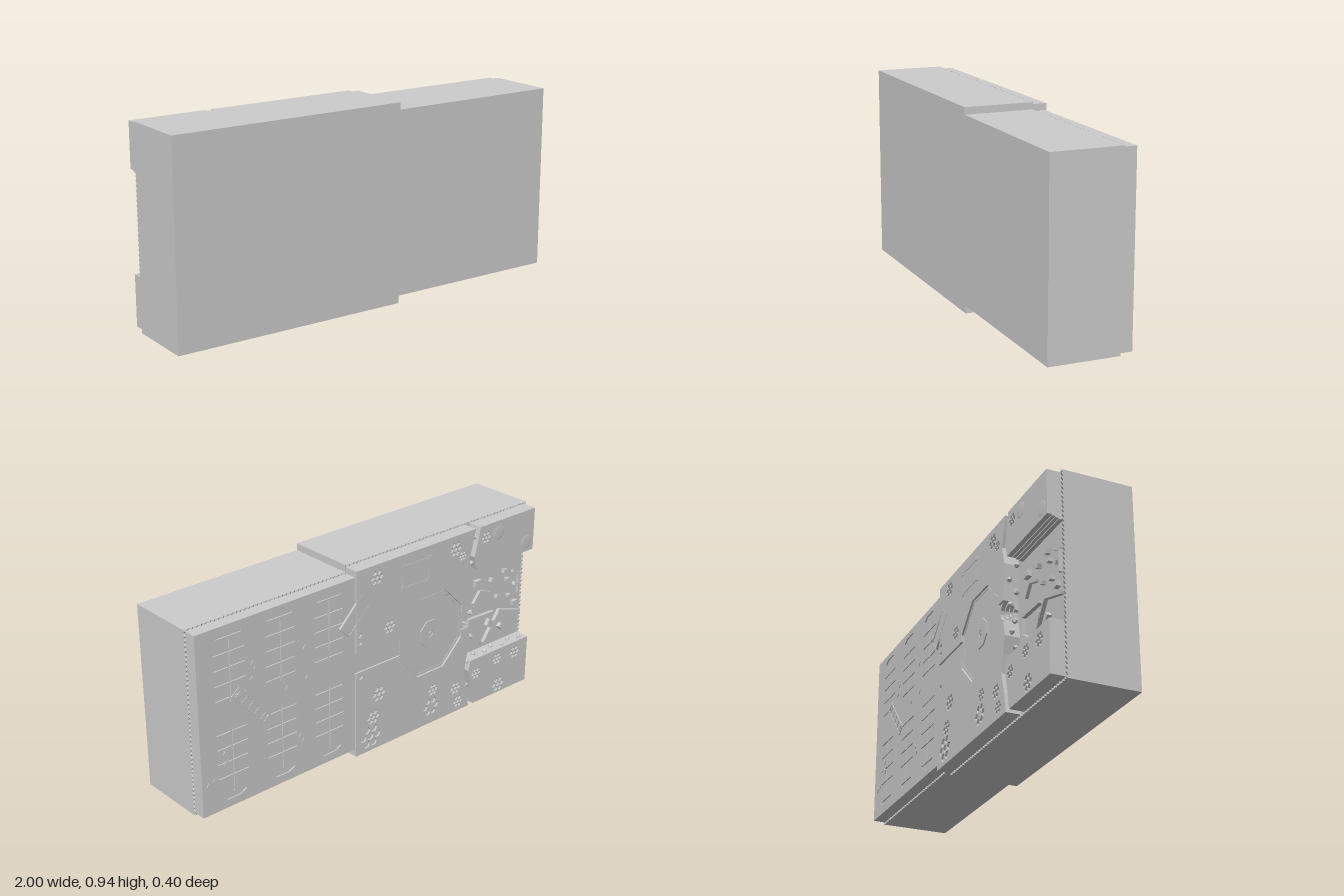
import * as THREE from 'three';

const mat = new THREE.MeshStandardMaterial({ color: 0xcccccc, flatShading: true, side: THREE.DoubleSide });
const BED = -0.13, LOW = -0.188, TOP = -0.197, MID = 0.485;

export function createModel() {
  const model = new THREE.Group();
  const add = (name, geo) => {
    const m = new THREE.Mesh(geo, mat);
    m.name = name;
    model.add(m);
    return m;
  };
  const vec = (pts) => pts.map(([x, y]) => new THREE.Vector2(x, y));

  // flat piece with an outline in x and y, between two depths
  const slab = (name, pts, zBack, zFront, holes = []) => {
    const s = new THREE.Shape(vec(pts));
    for (const h of holes) s.holes.push(new THREE.Path(vec(h)));
    const g = new THREE.ExtrudeGeometry(s, { depth: zFront - zBack, bevelEnabled: false });
    g.translate(0, 0, zBack);
    return add(name, g);
  };
  const rect = (x0, x1, y0, y1) => [[x0, y0], [x1, y0], [x1, y1], [x0, y1]];
  const ngon = (x, y, r, n, turn = 0) => Array.from({ length: n }, (_, i) => {
    const a = turn + i / n * Math.PI * 2;
    return [x + r * Math.cos(a), y + r * Math.sin(a)];
  });
  const box = (name, x, y, w, h, zFloor, height, angle = 0) => {
    const m = add(name, new THREE.BoxGeometry(w, h, height + 0.002));
    m.position.set(x, y, zFloor - height / 2 + 0.001);
    m.rotation.z = angle;
    return m;
  };
  const wall = (name, pts, width, zFloor, height) => {
    for (let i = 1; i < pts.length; i++) {
      const [ax, ay] = pts[i - 1], [bx, by] = pts[i];
      box(name, (ax + bx) / 2, (ay + by) / 2, Math.hypot(bx - ax, by - ay) + width, width,
        zFloor, height, Math.atan2(by - ay, bx - ax));
    }
  };
  // rotated rectangular frame
  const frame = (name, x, y, w, h, angle, zFloor, height, bar = 0.008) => {
    const c = Math.cos(angle), s = Math.sin(angle);
    const pts = [[-w, -h], [w, -h], [w, h], [-w, h], [-w, -h]].map(([a, b]) =>
      [x + (a * c - b * s) / 2, y + (a * s + b * c) / 2]);
    wall(name, pts, bar, zFloor, height);
    return pts.slice(0, 4);
  };
  // flower-like cluster of small pits
  const cluster = (x, y, r, centre = true) => {
    const pits = ngon(x, y, r * 2.1, 6).map(([a, b]) => ngon(a, b, r, 6));
    if (centre) pits.push(ngon(x, y, r, 6));
    return pits;
  };

  // earth base: wide and narrow halves
  slab('wideBase', rect(-1, 0.145, 0, 0.94), BED + 0.004, 0.197);
  slab('narrowBase', rect(0.14, 0.997, 0.036, 0.907), BED + 0.004, 0.197);

  // scalloped turf fringe round the sides
  const fringe = (x0, y0, x1, y1) => {
    const len = Math.hypot(x1 - x0, y1 - y0), n = Math.round(len / 0.022) * 4;
    const pts = [[0, 0.01], [len, 0.01]].reverse();
    for (let i = 0; i <= n; i++) pts.push([i / n * len, -0.004 - 0.004 * Math.sin(i * Math.PI / 2)]);
    const g = new THREE.ExtrudeGeometry(new THREE.Shape(vec(pts)), { depth: 0.008, bevelEnabled: false });
    g.translate(0, 0, -0.008);
    g.rotateX(Math.PI / 2);
    g.rotateZ(Math.atan2(y1 - y0, x1 - x0));
    g.translate(x0, y0, BED + 0.004);
    add('turfFringe', g);
  };
  // each side runs with the body on its right
  for (const [a, b, c, d] of [[-1, 0.94, 0.145, 0.94], [0.145, 0, -1, 0], [-1, 0, -1, 0.94],
    [0.145, 0.907, 0.997, 0.907], [0.997, 0.036, 0.145, 0.036], [0.997, 0.907, 0.997, 0.036]]) {
    const l = Math.hypot(c - a, d - b), nx = (d - b) / l * 0.008, ny = -(c - a) / l * 0.008;
    fringe(a + nx, b + ny, c + nx, d + ny);
  }

  // narrow field with comb-shaped bay markings and end caps
  const comb = (x, y0, y1, ticks) => {
    const w = 0.003, l = 0.08, side = [[w, y0]];
    for (const t of ticks) side.push([w, t - w], [l, t - w], [l, t + w], [w, t + w]);
    side.push([w, y1]);
    return [...side.map(([a, b]) => [x + a, b]), ...side.reverse().map(([a, b]) => [x - a, b])];
  };
  const cap = (x, y, s) => [[x - 0.065, y], [x + 0.065, y], [x + 0.065, y + s * 0.008],
    [x + 0.035, y + s * 0.024], [x - 0.035, y + s * 0.024], [x - 0.065, y + s * 0.008]];
  const fieldPits = [];
  for (const x of [0.824, 0.558, 0.291]) {
    fieldPits.push(comb(x, 0.55, 0.84, [0.57, 0.64, 0.71, 0.78]), cap(x, 0.847, 1));
    fieldPits.push(comb(x, 0.115, 0.43, [0.2, 0.27, 0.34, 0.41]), cap(x, 0.108, -1));
  }
  const field = rect(0.14, 0.99, 0.045, 0.9);
  slab('fieldBed', field, LOW + 0.006, BED + 0.006);
  slab('fieldTurf', field, LOW, LOW + 0.006, fieldPits);

  // long footbridge, its planks and loose crates on the field
  const tilt = Math.atan2(-0.185, -0.158);
  frame('footbridge', 0.72, 0.49, 0.24, 0.045, tilt, LOW, 0.003);
  for (let i = -2; i <= 2; i++) {
    box('plank', 0.72 + i * 0.032, 0.49 + i * 0.037, 0.012, 0.045, LOW, 0.002, tilt);
  }
  for (const [x, y] of [[0.7, 0.68], [0.685, 0.655], [0.705, 0.61], [0.52, 0.5], [0.45, 0.24],
    [0.435, 0.21], [0.86, 0.31], [0.855, 0.26], [0.92, 0.2], [0.95, 0.19], [0.42, 0.66], [0.41, 0.51]]) {
    box('crate', x, y, 0.028, 0.02, LOW, 0.003, 0.6);
  }

  // ramp bridge across the step between the halves
  box('rampDeck', 0.145, 0.72, 0.17, 0.07, LOW, 0.007, Math.PI * 0.75);
  frame('rampRail', 0.145, 0.72, 0.17, 0.07, Math.PI * 0.75, LOW, 0.01);

  // plateau with river bank and stair bay
  const bankUp = [[-0.59, 0.93], [-0.575, 0.86], [-0.555, 0.79], [-0.58, 0.7], [-0.57, 0.6], [-0.565, 0.53]];
  const bankDown = [[-0.565, 0.44], [-0.58, 0.36], [-0.56, 0.28], [-0.545, 0.2], [-0.57, 0.1], [-0.585, 0.01]];
  const halfRound = (r) => Array.from({ length: 9 }, (_, i) => {
    const a = Math.PI / 2 - i / 8 * Math.PI;
    return [-0.565 + r * Math.cos(a), MID + r * Math.sin(a)];
  });
  slab('plateauBed', [[0.142, 0.93], ...bankUp, ...halfRound(0.045).slice(1, -1), ...bankDown, [0.142, 0.01]],
    LOW, BED + 0.006);
  for (let k = 0; k < 3; k++) {
    slab('riverStair', [...halfRound(0.046), ...halfRound(0.012 + k * 0.011).reverse()],
      -0.143 - k * 0.014, BED + 0.006);
  }

  // raised turf on both sides of the plaza and its approach path
  const plazaEdge = (s) => [[-0.518, MID + s * 0.045], [-0.518, MID + s * 0.082], [-0.402, MID + s * 0.198],
    [-0.238, MID + s * 0.198], [-0.122, MID + s * 0.082], [-0.122, MID + s * 0.048], [0.142, MID + s * 0.048]];
  slab('upperTurf', [[0.142, 0.93], ...bankUp, ...plazaEdge(1)], TOP, LOW,
    [...cluster(0.024, 0.87, 0.012), ...cluster(-0.055, 0.607, 0.011), ...cluster(-0.46, 0.867, 0.012),
      ...cluster(-0.51, 0.82, 0.008), ngon(0.12, 0.62, 0.012, 6), ngon(0.118, 0.58, 0.01, 6)]);
  slab('lowerTurf', [[0.142, 0.01], ...bankDown.slice().reverse(), ...plazaEdge(-1)], TOP, LOW,
    [...cluster(0.006, 0.29, 0.013), ...cluster(0.055, 0.085, 0.02), ...cluster(0.04, 0.18, 0.012),
      ...cluster(-0.327, 0.1, 0.016, false), ...cluster(-0.34, 0.185, 0.01), ...cluster(-0.49, 0.14, 0.011),
      ...cluster(-0.51, 0.06, 0.01), ngon(0.115, 0.41, 0.012, 6)]);

  // plaza kerb and central round platform
  const eighth = Math.PI / 8;
  slab('plazaKerb', ngon(-0.32, MID, 0.207, 8, eighth), LOW - 0.002, LOW + 0.001, [ngon(-0.32, MID, 0.2, 8, eighth)]);
  slab('platform', ngon(-0.32, MID, 0.07, 8, eighth), LOW - 0.005, LOW, [ngon(-0.32, MID, 0.017, 8, eighth)]);
  slab('platformPost', ngon(-0.32, MID, 0.009, 8), LOW - 0.006, LOW);

  // small fenced yard with corner posts
  for (const [x, y] of frame('yardFence', -0.215, 0.82, 0.16, 0.105, 0, TOP, 0.002, 0.006)) {
    box('yardPost', x, y, 0.02, 0.02, TOP, 0.003);
  }

  // corner blocks beyond the river
  const far = (bank) => bank.map(([x, y]) => [x - 0.032, y]);
  const upper = [...far(bankUp.slice(0, 3)), [-0.607, 0.72], [-0.99, 0.72], [-0.99, 0.93]];
  const lower = [[-0.59, 0.25], ...far(bankDown.slice(3)), [-0.99, 0.01], [-0.99, 0.25]];
  slab('upperBlock', upper, LOW, BED + 0.006);
  slab('upperBlockTurf', upper, TOP, LOW, cluster(-0.66, 0.87, 0.01));
  slab('lowerBlock', lower, LOW, BED + 0.006);
  slab('lowerBlockTurf', lower, TOP, LOW,
    [...cluster(-0.79, 0.055, 0.013), ...cluster(-0.776, 0.2, 0.01), ...cluster(-0.9, 0.195, 0.011),
      ...cluster(-0.63, 0.17, 0.01)]);
  for (let k = 0; k < 3; k++) {
    slab('cliffLedge', rect(-0.99, -0.615, 0.705 + k * 0.005, 0.725), -0.145 - k * 0.015, BED + 0.006);
  }
  for (const [x, y] of [[-0.745, 0.87], [-0.94, 0.77]]) {
    const g = new THREE.SphereGeometry(0.035, 20, 10);
    g.scale(1, 1, 0.06);
    add('mound', g).position.set(x, y, TOP);
  }

  // sunken yard: walls and huts
  wall('yardWall', [[-0.79, 0.425], [-0.63, 0.43], [-0.624, 0.35], [-0.733, 0.275], [-0.84, 0.42], [-0.98, 0.375]],
    0.012, BED + 0.004, 0.018);
  wall('yardWall', [[-0.66, 0.51], [-0.7, 0.56], [-0.76, 0.54]], 0.01, BED + 0.004, 0.015);
  wall('yardWall', [[-0.93, 0.6], [-0.97, 0.58], [-0.97, 0.48]], 0.01, BED + 0.004, 0.015);
  for (const [x, y, s, a] of [[-0.679, 0.61, 0.04, 0], [-0.78, 0.597, 0.025, 0.4], [-0.867, 0.62, 0.025, 0.2],
    [-0.885, 0.57, 0.02, 0], [-0.945, 0.53, 0.02, 0.5], [-0.776, 0.37, 0.045, 0.6], [-0.945, 0.43, 0.03, 0],
    [-0.855, 0.33, 0.03, 0.8], [-0.82, 0.5, 0.02, 0.3], [-0.9, 0.48, 0.02, 0]]) {
    box('hut', x, y, s, s * 0.8, BED + 0.004, 0.02, a);
  }

  // boulders along the river and below the lower block
  const boulder = (x, y, z, r) => {
    const m = add('boulder', new THREE.DodecahedronGeometry(r));
    m.position.set(x, y, z);
    m.rotation.set(x * 40, y * 30, 0);
  };
  for (let i = 0; i < 14; i++) boulder(-0.592 + 0.012 * Math.sin(i * 2.3), 0.05 + i * 0.064, -0.15 - 0.025 * (i % 2), 0.013);
  for (let i = 0; i < 6; i++) boulder(-0.65 - i * 0.06, 0.252, -0.155 - 0.02 * (i % 2), 0.012);

  return model;
}
